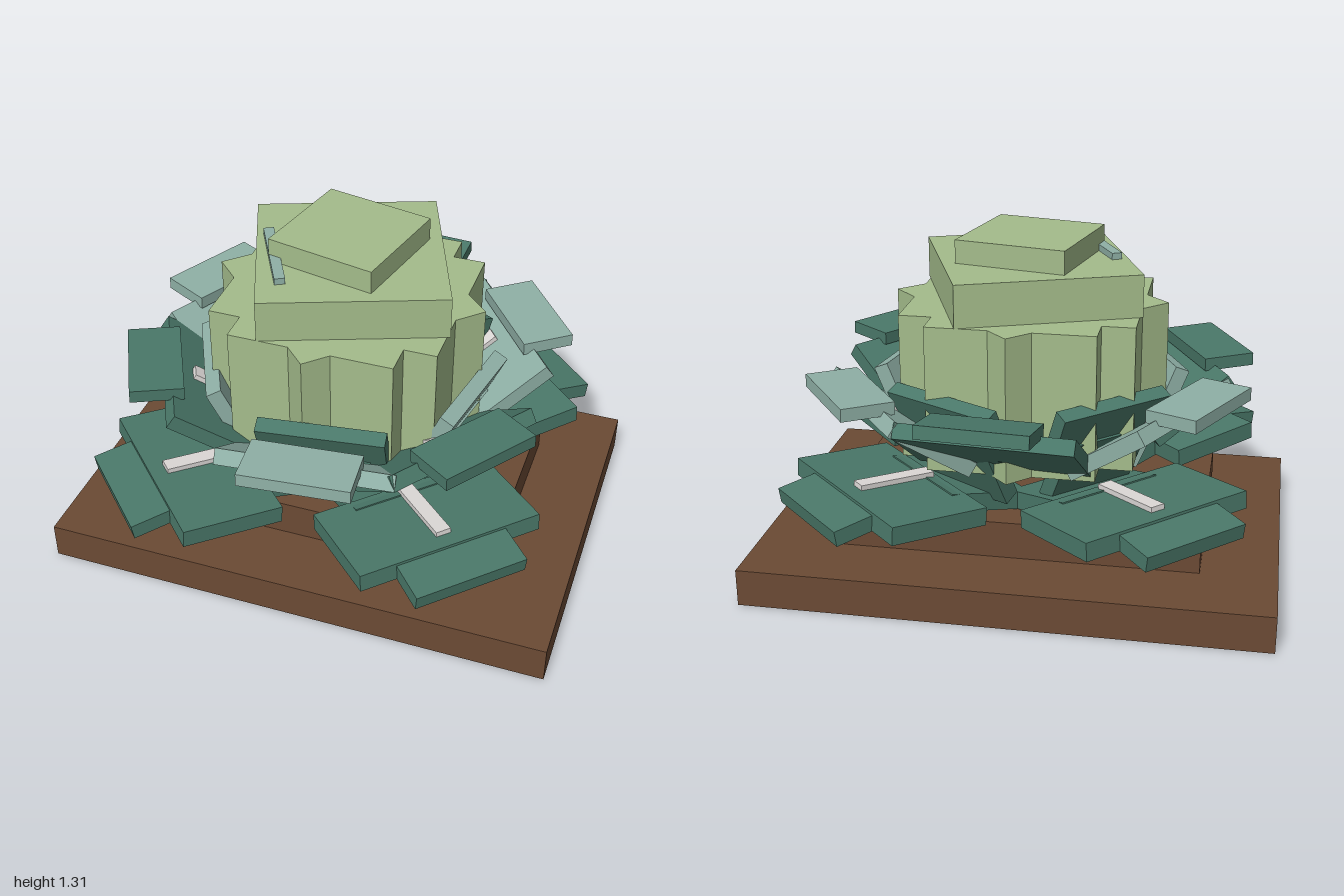
import * as THREE from 'three';

const mat = (name, color) => {
  const m = new THREE.MeshStandardMaterial({ color });
  m.name = name;
  return m;
};

export function createModel() {
  const soil = mat('soil brown', 0x6b4a34);
  const pale = mat('pale heart green', 0xa4bc8b);
  const green = mat('deep leaf green', 0x4a7869);
  const frost = mat('frosted leaf green', 0x8fb0a6);
  const rib = mat('rib white', 0xdedad8);

  const model = new THREE.Group();
  model.name = 'leafyPlant';

  // Box given by its size, bottom height, and turn about y
  const block = (name, material, w, h, d, y, turn = 0, x = 0, z = -0.01) => {
    const mesh = new THREE.Mesh(new THREE.BoxGeometry(w, h, d), material);
    mesh.name = name;
    mesh.position.set(x, y + h / 2, z);
    mesh.rotation.y = turn;
    model.add(mesh);
  };

  // Plank running outward from (r0, y0) to (r1, y1), measured along its middle
  const plank = (parent, name, material, w, t, [r0, y0], [r1, y1], lift = 0) => {
    const tilt = Math.atan2(y1 - y0, r1 - r0);
    const mesh = new THREE.Mesh(new THREE.BoxGeometry(w, t, Math.hypot(r1 - r0, y1 - y0)), material);
    mesh.name = name;
    mesh.position.set(0, (y0 + y1) / 2 + lift * Math.cos(tilt), (r0 + r1) / 2 - lift * Math.sin(tilt));
    mesh.rotation.x = -tilt;
    parent.add(mesh);
  };

  const leafGroup = (name, degrees) => {
    const g = new THREE.Group();
    g.name = name;
    g.rotation.y = THREE.MathUtils.degToRad(degrees);
    model.add(g);
    return g;
  };

  // Stepped soil bed
  block('soilBed', soil, 2, 0.145, 1.42, 0, 0, 0, 0);
  block('soilMound', soil, 1.42, 0.145, 0.86, 0.145, 0, 0, 0);

  // Heart: crossed blocks and a diamond, then two turned caps
  block('heartBody', pale, 0.63, 0.56, 0.9, 0.5);
  block('heartBody', pale, 0.88, 0.56, 0.66, 0.5);
  block('heartBody', pale, 0.75, 0.56, 0.75, 0.5, Math.PI / 4);
  block('heartCap', pale, 0.7, 0.162, 0.7, 1.06, 0.367);
  block('heartTop', pale, 0.436, 0.09, 0.436, 1.222, -0.21);
  block('heartRib', frost, 0.04, 0.025, 0.36, 1.222, 0.49, -0.245, 0.14);

  // Low outer leaves on the diagonals
  for (let i = 0; i < 4; i++) {
    const g = leafGroup('outerLeaf', 45 + i * 90);
    plank(g, 'leafBase', green, 0.44, 0.07, [0.17, 0.32], [0.52, 0.4]);
    plank(g, 'leafBlade', green, 0.74, 0.07, [0.46, 0.39], [0.853, 0.42]);
    plank(g, 'leafTip', green, 0.45, 0.06, [0.81, 0.42], [1.0, 0.392]);
    plank(g, 'leafRib', rib, 0.06, 0.02, [0.48, 0.392], [0.79, 0.415], 0.045);
  }

  // Middle leaves, flaring outward, in alternating colours
  [6, 55, 126, 176, 244, 297].forEach((angle, i) => {
    const g = leafGroup('middleLeaf', angle);
    const m = i % 2 ? green : frost;
    plank(g, 'leafBlade', m, 0.66, 0.06, [0.4, 0.53], [0.71, 0.745]);
    plank(g, 'leafTip', m, 0.41, 0.05, [0.65, 0.775], [0.855, i === 3 ? 0.81 : 0.78]);
    plank(g, 'leafRib', rib, 0.065, 0.02, [0.42, 0.544], [0.63, 0.69], 0.04);
  });

  // Steep inner leaves hugging the heart
  for (let i = 0; i < 5; i++) {
    const g = leafGroup('innerLeaf', 8 + i * 72);
    const m = i % 3 === 1 ? frost : green;
    plank(g, 'leafBase', m, 0.36, 0.07, [0.35, 0.38], [0.49, 0.66]);
    plank(g, 'leafBlade', m, 0.48, 0.06, [0.46, 0.6], [0.54, 0.785]);
  }

  return model;
}
